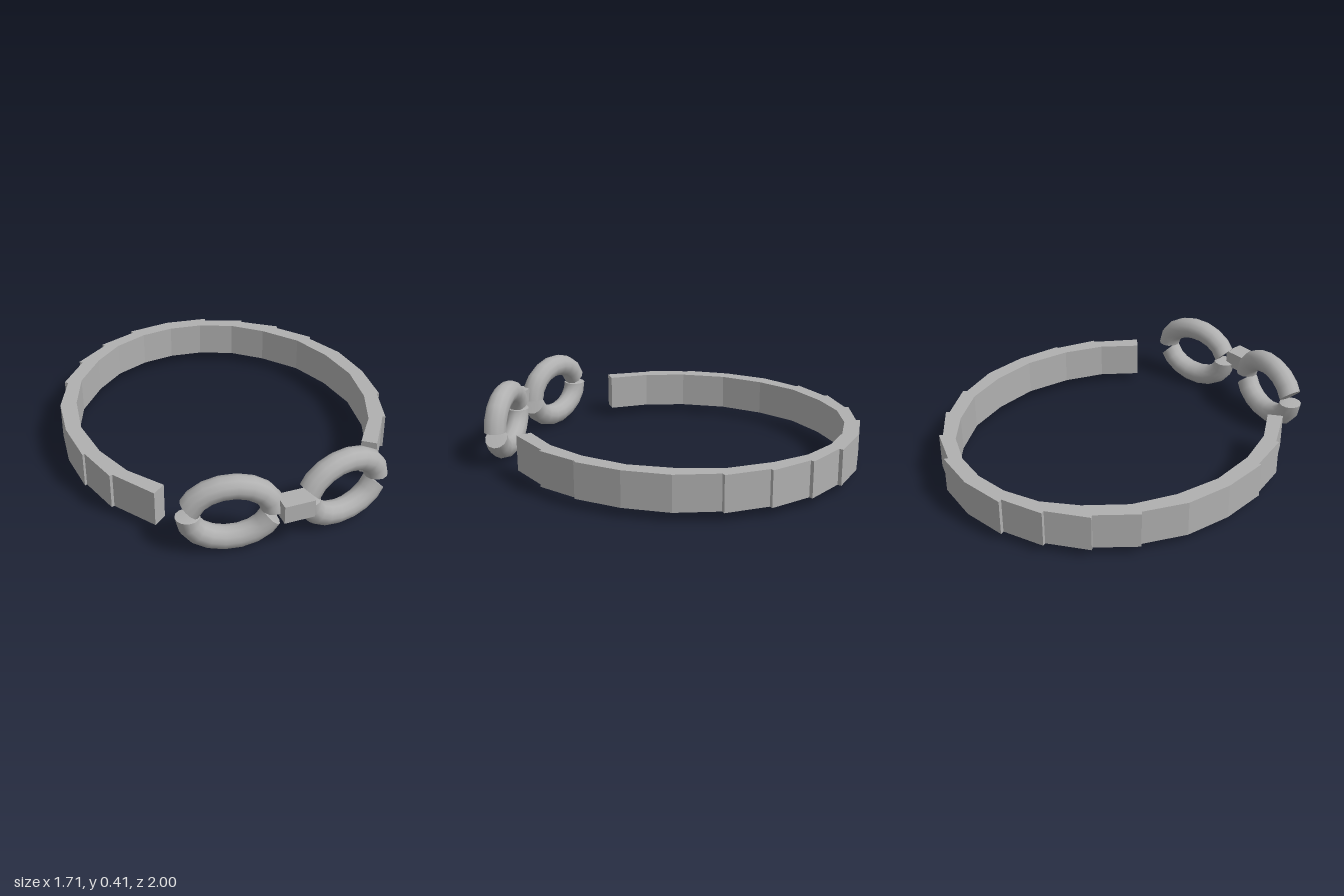
import * as THREE from 'three';

const metal = new THREE.MeshStandardMaterial({ color: 0xb0b0b0 });
metal.name = 'grey metal';

function surface(name, points, index) {
  const g = new THREE.BufferGeometry().setFromPoints(points);
  g.setIndex(index);
  g.computeVertexNormals();
  const mesh = new THREE.Mesh(g, metal);
  mesh.name = name;
  return mesh;
}

// One half of an oval link, swept from angle t0, with pinched conical ends
function halfLink(name, t0) {
  const group = new THREE.Group();
  group.name = name;
  const A = 0.203, B = 0.146, R = 0.06, STEPS = 8, SIDES = 12;
  const points = [], index = [];
  for (let i = 0; i <= STEPS; i++) {
    const t = t0 + (i / STEPS) * 2.86;
    let dir = Math.atan2(Math.sin(t) / B, Math.cos(t) / A);
    if (i === STEPS) dir -= 0.4; // the last cut is slanted
    for (let j = 0; j < SIDES; j++) {
      const p = (j / SIDES) * Math.PI * 2, r = R * Math.cos(p);
      points.push(new THREE.Vector3(
        A * Math.cos(t) + r * Math.cos(dir),
        B * Math.sin(t) + r * Math.sin(dir),
        R * Math.sin(p)));
    }
  }
  for (let i = 0; i < STEPS; i++) {
    for (let j = 0; j < SIDES; j++) {
      const k = (j + 1) % SIDES;
      const a = i * SIDES + j, b = i * SIDES + k;
      const c = a + SIDES, d = b + SIDES;
      index.push(a, c, b, b, c, d);
    }
  }
  group.add(surface('linkTube', points, index));

  // Ends narrow to a point shared with the other half
  const tip = (t) => new THREE.Vector3(0.175 * Math.cos(t), 0.09 * Math.sin(t), 0);
  const fan = (ring, apex, flip) => {
    const idx = [];
    for (let j = 0; j < SIDES; j++) {
      const k = (j + 1) % SIDES;
      if (flip) idx.push(SIDES, k, j);
      else idx.push(SIDES, j, k);
    }
    return surface('pinchedEnd', [...ring, apex], idx);
  };
  group.add(fan(points.slice(0, SIDES), tip(t0 - 0.13), false));
  group.add(fan(points.slice(-SIDES), tip(t0 + Math.PI - 0.13), true));
  return group;
}

function link(name, side) {
  const group = new THREE.Group();
  group.name = name;
  group.add(halfLink('upperHalf', 0), halfLink('lowerHalf', Math.PI));
  group.position.set(0.29 * side, 0.21, 0.853);
  group.rotation.y = 0.19 * side;
  return group;
}

// Open band with small overlapping steps along its outer edge
function band() {
  const outer = [
    [0, -1], [0.24, -0.968], [0.232, -0.948], [0.444, -0.868], [0.435, -0.85],
    [0.62, -0.715], [0.607, -0.7], [0.752, -0.52], [0.737, -0.505], [0.83, -0.29],
    [0.857, -0.045], [0.832, 0.205], [0.82, 0.2], [0.752, 0.425], [0.737, 0.42],
    [0.592, 0.635],
  ];
  const inner = [
    [0.528, 0.585], [0.66, 0.41], [0.742, 0.2], [0.777, -0.045], [0.742, -0.285],
    [0.66, -0.505], [0.513, -0.69], [0.36, -0.82], [0.18, -0.895], [0, -0.918],
  ];
  const half = [...outer, ...inner];
  const mirrored = half.slice(1, -1).reverse().map(([x, z]) => [-x, z]);
  const outline = [...half, ...mirrored].map(([x, z]) => new THREE.Vector2(x, -z));
  const g = new THREE.ExtrudeGeometry(new THREE.Shape(outline), { depth: 0.19, bevelEnabled: false });
  g.rotateX(-Math.PI / 2);
  const mesh = new THREE.Mesh(g, metal);
  mesh.name = 'band';
  mesh.position.y = 0.053;
  return mesh;
}

export function createModel() {
  const model = new THREE.Group();
  model.name = 'openLinkBracelet';
  model.add(band(), link('leftLink', 1), link('rightLink', -1));

  // Block joining the two links
  const bridge = new THREE.Mesh(new THREE.BoxGeometry(0.155, 0.093, 0.11), metal);
  bridge.name = 'bridge';
  bridge.position.set(0, 0.236, 0.945);
  model.add(bridge);
  return model;
}
